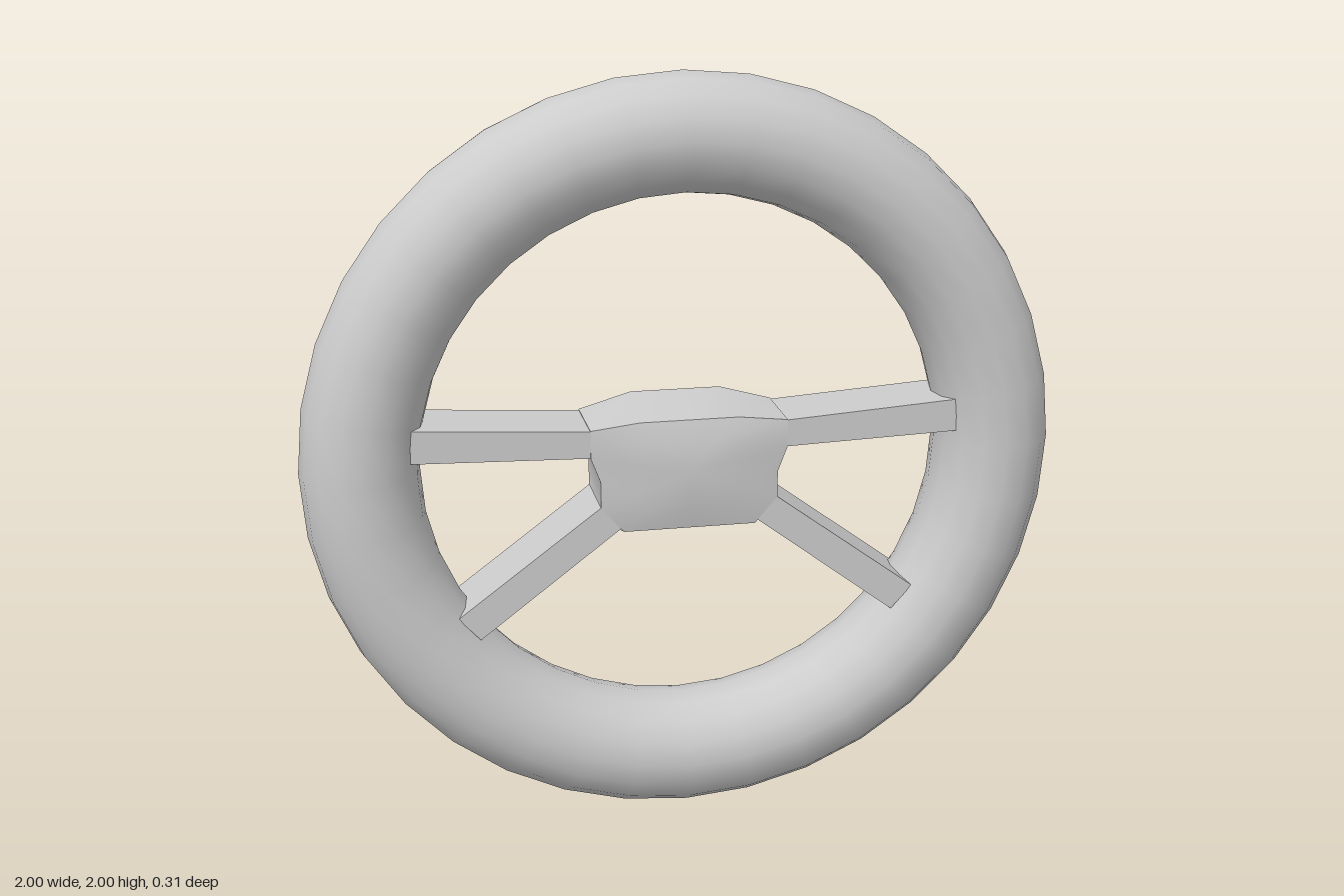
import * as THREE from 'three';
import { toCreasedNormals } from 'three/addons/utils/BufferGeometryUtils.js';

const material = new THREE.MeshStandardMaterial({ color: 0xcccccc });

// Full counter-clockwise outline from its right half (bottom centre to top centre)
const mirrorOutline = half => [
  ...half,
  ...half.slice(1, -1).reverse().map(([x, y]) => [-x, y]),
];

// Skin over rings of equal point count, ordered back to front, closed by fans
function loft(rings, backCentre, frontCentre) {
  const pos = [];
  const tri = (...pts) => pts.forEach(p => pos.push(...p));
  const n = rings[0].length;
  for (let i = 0; i < n; i++) {
    const j = (i + 1) % n;
    for (let k = 0; k < rings.length - 1; k++) {
      const [a, b, c, d] = [rings[k][i], rings[k][j], rings[k + 1][j], rings[k + 1][i]];
      tri(a, b, c);
      tri(a, c, d);
    }
    tri(backCentre, rings[0][j], rings[0][i]);
    tri(frontCentre, rings.at(-1)[i], rings.at(-1)[j]);
  }
  const geo = new THREE.BufferGeometry();
  geo.setAttribute('position', new THREE.Float32BufferAttribute(pos, 3));
  return toCreasedNormals(geo, 0.6);
}

function hubGeometry() {
  const sides = [[0.235, 0.89], [0.235, 0.96], [0.26, 1.025], [0.26, 1.1]];
  const back = mirrorOutline([[0, 0.82], [0.25, 0.82], ...sides, [0.12, 1.14], [0, 1.14]]);
  const front = mirrorOutline([[0, 0.82], [0.175, 0.82], ...sides, [0.13, 1.115], [0, 1.115]]);
  const cy = 0.98;
  const ring = (outline, s, z) => outline.map(([x, y]) => [x * s, cy + (y - cy) * s, z]);
  return loft(
    [ring(back, 1, -0.1), ring(front, 1, 0.1), ring(front, 0.6, 0.115)],
    [0, cy, -0.1], [0, cy, 0.12]);
}

// Flat bar with a four-sided front outline; side = -1 mirrors it
function spokeGeometry(corners, side) {
  const depth = 0.194;
  const shape = new THREE.Shape(corners.map(([x, y]) => new THREE.Vector2(x * side, y)));
  return new THREE.ExtrudeGeometry(shape, { depth, bevelEnabled: false })
    .translate(0, 0, -depth / 2);
}

export function createModel() {
  const model = new THREE.Group();
  model.name = 'steeringWheel';
  const add = (name, geometry) => {
    const mesh = new THREE.Mesh(geometry, material);
    mesh.name = name;
    model.add(mesh);
  };

  // Round grip
  add('rim', new THREE.TorusGeometry(0.845, 0.155, 16, 36).translate(0, 1, 0));

  // Centre block, wider at the back with a slightly domed front
  add('hub', hubGeometry());

  // Two pairs of spokes
  const upper = [[0.2, 1.024], [0.72, 1.04], [0.72, 1.127], [0.2, 1.094]];
  const lower = [[0.14, 0.86], [0.556, 0.545], [0.613, 0.608], [0.19, 0.922]];
  for (const [label, side] of [['left', 1], ['right', -1]]) {
    add(label + 'UpperSpoke', spokeGeometry(upper, side));
    add(label + 'LowerSpoke', spokeGeometry(lower, side));
  }
  return model;
}
